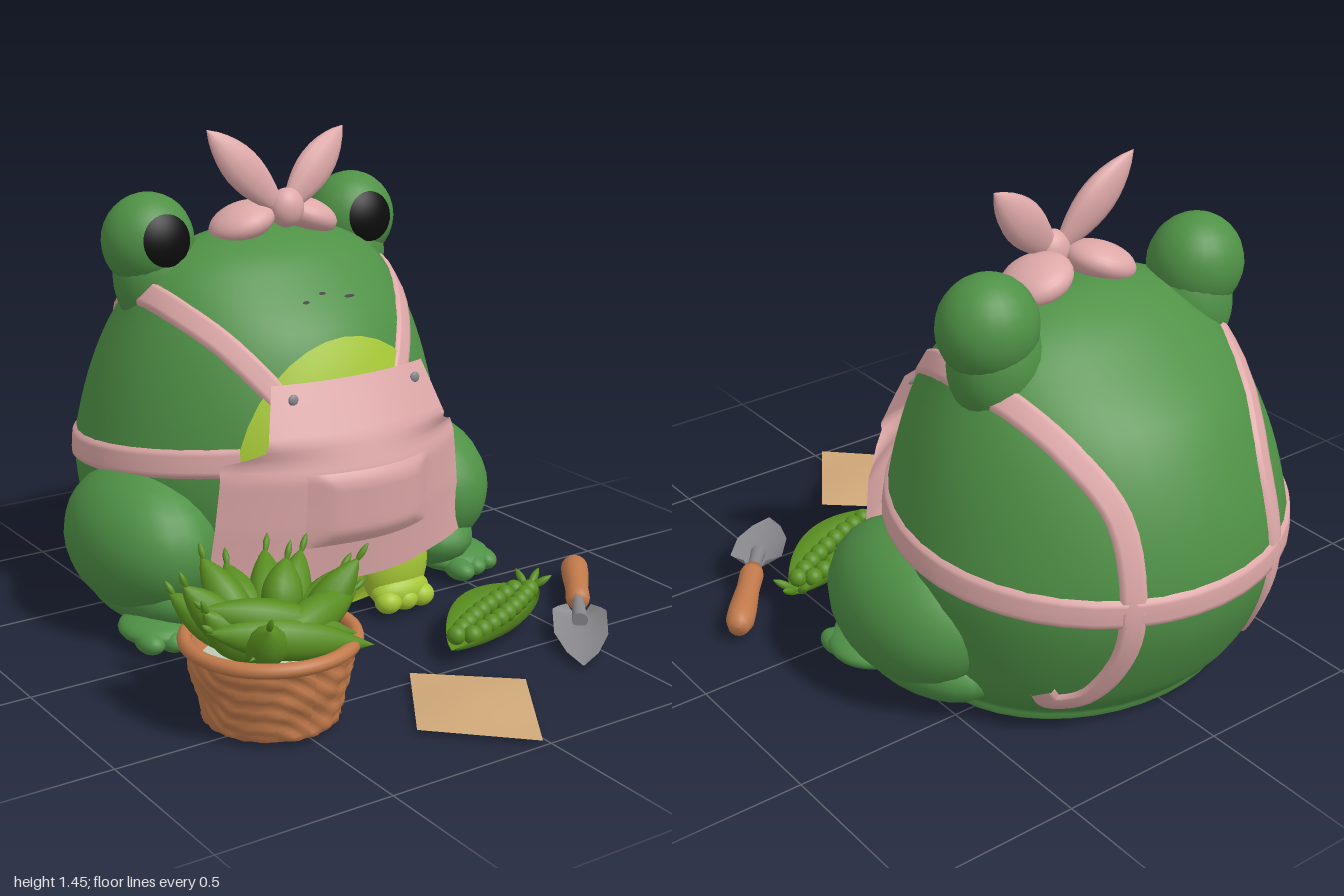
import * as THREE from 'three';
import { mergeVertices } from 'three/addons/utils/BufferGeometryUtils.js';
import { ParametricGeometry } from 'three/addons/geometries/ParametricGeometry.js';

const V = (x, y, z) => new THREE.Vector3(x, y, z);
const lathe = (points, n) => new THREE.LatheGeometry(points.map(p => new THREE.Vector2(...p)), n);
const material = (name, color, side = THREE.FrontSide) =>
  Object.assign(new THREE.MeshStandardMaterial({ color, side }), { name });

// Smooth surface from a rule (u, v) -> point
function surface(rule, nu, nv) {
  const g = new ParametricGeometry((u, v, t) => t.copy(rule(u, v)), nu, nv);
  g.deleteAttribute('uv');
  g.deleteAttribute('normal');
  const merged = mergeVertices(g, 1e-5);
  merged.computeVertexNormals();
  return merged;
}
// Straight-line lookup in a list of [key, value] pairs with rising keys
function lookup(table, k) {
  const i = Math.max(1, table.findIndex((row, n) => k <= row[0] || n === table.length - 1));
  const [k0, v0] = table[i - 1], [k1, v1] = table[i];
  return THREE.MathUtils.lerp(v0, v1, THREE.MathUtils.clamp((k - k0) / (k1 - k0), 0, 1));
}

export function createModel() {
  const root = new THREE.Group();
  const green = material('frog green', 0x4f9146);
  const lime = material('belly lime', 0xa6c836, THREE.DoubleSide);
  const pink = material('apron pink', 0xdea8a8, THREE.DoubleSide);
  const black = material('eye black', 0x0c0c0c);
  const podGreen = material('pea pod green', 0x588d1f, THREE.DoubleSide);
  const clay = material('terracotta', 0xc27a4b);
  const tan = material('paper tan', 0xcfa878, THREE.DoubleSide);
  const grey = material('steel grey', 0x88888c, THREE.DoubleSide);
  const pale = material('pale lining', 0xbccbb6);

  const add = (name, geo, mat, parent = root) => {
    const m = new THREE.Mesh(geo, mat);
    m.name = name;
    parent.add(m);
    return m;
  };
  const group = (name, x, z, turn = 0) => {
    const g = new THREE.Group();
    g.name = name;
    g.position.set(x, 0, z);
    g.rotation.y = turn;
    root.add(g);
    return g;
  };
  const ballGeo = new THREE.SphereGeometry(1, 24, 16);
  const ball = (name, mat, p, r, parent) => {
    const m = add(name, ballGeo, mat, parent);
    m.position.set(...p);
    m.scale.set(...r);
    return m;
  };
  // Pointed leaf or pod running from a to b
  const outline = Array.from({ length: 13 }, (_, i) => [Math.max(0.001, Math.sin(Math.PI * (i / 12) ** 1.15)) ** 0.85, i / 12]);
  const spindleGeo = lathe(outline, 12);
  const spindle = (name, mat, a, b, rx, rz, parent) => {
    const m = add(name, spindleGeo, mat, parent), d = b.clone().sub(a);
    m.position.copy(a);
    m.scale.set(rx, d.length(), rz);
    m.quaternion.setFromUnitVectors(V(0, 1, 0), d.normalize());
  };

  // Body: rings of y, half width, front z, back z
  const rings = [
    [0, 0, -0.4, -0.4], [0, 0.43, -0.06, -0.76], [0.04, 0.47, -0.02, -0.81], [0.12, 0.52, 0.03, -0.88],
    [0.3, 0.56, 0.08, -0.965], [0.45, 0.575, 0.1, -0.99], [0.6, 0.55, 0.09, -0.965], [0.75, 0.51, 0.05, -0.905],
    [0.88, 0.46, -0.01, -0.82], [1.0, 0.4, -0.12, -0.68], [1.08, 0.3, -0.21, -0.575], [1.13, 0.14, -0.32, -0.47],
    [1.14, 0, -0.39, -0.39]];
  const line = k => new THREE.CatmullRomCurve3(rings.map(r => V(r[1], r[0], r[k])), false, 'catmullrom');
  const frontLine = line(2), backLine = line(3);
  const body = add('body', surface((u, v) => {
    const f = frontLine.getPoint(v), b = backLine.getPoint(v), a = (u * 2 + 1) * Math.PI;
    return V(f.x * Math.sin(a), Math.max(0, f.y), (f.z + b.z) / 2 + (f.z - b.z) / 2 * Math.cos(a));
  }, 40, 48), green);
  body.updateMatrixWorld();

  // Drop points on to the body, from the front or towards its middle
  const caster = new THREE.Raycaster(), core = V(0, 0.45, -0.43);
  const cast = (from, dir, fallback) => {
    caster.set(from, dir);
    const hit = caster.intersectObject(body)[0];
    return hit ? hit.point : fallback.clone();
  };
  const onFront = (x, y, off) => cast(V(x, y, 3), V(0, 0, -1), V(x, y, -0.1)).add(V(0, 0, off));
  const onBody = (p, off) => {
    const d = p.clone().sub(core).normalize();
    return cast(core.clone().addScaledVector(d, 3), d.clone().negate(), p).addScaledVector(d, off);
  };
  const ribbon = (name, points, width, n) => {
    const curve = new THREE.CatmullRomCurve3(points.map(p => onBody(p, 0)));
    add(name, surface((u, v) => {
      const p = curve.getPoint(v);
      const side = curve.getTangent(v).cross(p.clone().sub(core).normalize()).normalize();
      return onBody(p.addScaledVector(side, (u - 0.5) * width), u < 0.01 || u > 0.99 ? -0.003 : 0.01);
    }, 8, n), pink);
  };
  add('belly', surface((u, v) => {
    const a = v * Math.PI * 2;
    return onFront(0.02 + 0.37 * u * Math.cos(a), Math.max(0.015, 0.42 + 0.44 * u * Math.sin(a)), 0.007);
  }, 10, 36), lime);
  // Small nostrils and mouth
  for (const [x, y, w] of [[-0.055, 0.955, 0.012], [0.1, 0.955, 0.018], [0.01, 0.972, 0.012]]) {
    const m = add('faceMark', new THREE.CircleGeometry(1, 12), black);
    m.position.copy(onFront(x, y, 0.006));
    m.scale.set(w, 0.005, 1);
    m.rotation.x = -0.6;
  }

  const pupilGeo = new THREE.SphereGeometry(1, 28, 8, 0, Math.PI * 2, 0, 0.56);
  pupilGeo.rotateX(Math.PI / 2 - 0.12);
  const strap = [[0.2, 0.7, 0.08], [0.25, 0.77, 0.04], [0.33, 0.88, -0.1], [0.385, 0.935, -0.27], [0.4, 0.95, -0.45],
    [0.38, 0.94, -0.6], [0.33, 0.86, -0.76], [0.26, 0.7, -0.88], [0.26, 0.45, -0.95], [0.27, 0.27, -0.92],
    [0.31, 0.13, -0.82], [0.37, 0.12, -0.75], [0.4, 0.16, -0.75]];
  for (const s of [-1, 1]) {
    // Eye bump on a short neck, with a dark pupil cap
    ball('eyeBump', green, [s * 0.36, 1.11, -0.46], [0.14, 0.142, 0.13]);
    ball('eyeNeck', green, [s * 0.335, 1.0, -0.46], [0.13, 0.17, 0.125]);
    const pupil = add('pupil', pupilGeo, black);
    pupil.position.set(s * 0.357, 1.11, -0.46);
    pupil.scale.set(0.144, 0.146, 0.135);
    // Hind leg and foot
    ball('thigh', green, [s * 0.49, 0.262, -0.3], [0.213, 0.225, 0.3]);
    ball('shin', green, [s * 0.46, 0.12, -0.3], [0.17, 0.12, 0.3]);
    ball('hindFoot', green, [s * 0.53, 0.045, -0.13], [0.12, 0.045, 0.13]);
    for (const k of [-1, 0, 1]) ball('toe', green, [s * 0.54 + k * 0.06, 0.034, -0.04 - k * s * 0.02], [0.04, 0.034, 0.06]);
    // Front leg and foot below the apron
    const x = s * 0.18 + 0.015;
    ball('frontLeg', lime, [x, 0.14, 0.02], [0.115, 0.15, 0.075]);
    ball('frontFoot', lime, [x, 0.055, 0.055], [0.1, 0.055, 0.055]);
    for (const k of [-1, 0, 1]) ball('finger', lime, [x + k * 0.06, 0.036, 0.08], [0.042, 0.036, 0.04]);
    // Strap over the shoulder, crossing the band and ending in a hooked tail
    ribbon('shoulderStrap', strap.map(p => V(s * p[0], p[1], p[2])), 0.078, 60);
  }
  // Waist band round the back
  ribbon('waistBand', Array.from({ length: 25 }, (_, i) => {
    const a = 0.6 + (Math.PI * 2 - 1.2) * i / 24;
    return V(Math.sin(a) * 0.58, 0.545 - 0.105 * (1 - Math.cos(a)) / 2, -0.45 + 0.55 * Math.cos(a));
  }), 0.09, 72);

  // Apron, its pocket and buttons
  const apronDepth = [[0.17, 0.14], [0.35, 0.17], [0.5, 0.185], [0.6, 0.155], [0.76, 0.075]];
  const apronWidth = [[0.17, 0.46], [0.54, 0.42], [0.58, 0.32], [0.76, 0.265]];
  const apronCurve = [[0.17, 0.75], [0.54, 1.05], [0.6, 0.65], [0.76, 0.6]];
  const apronZ = (x, y) => lookup(apronDepth, y) - lookup(apronCurve, y) * x * x + 0.008 * Math.sin(x * 16) * (0.76 - y);
  add('apron', surface((u, v) => {
    const y = 0.17 + 0.59 * v, x = 0.02 + (u * 2 - 1) * lookup(apronWidth, y);
    return V(x, y, apronZ(x, y));
  }, 24, 30), pink);
  add('pocket', surface((u, v) => {
    const x = -0.195 + 0.44 * u, y = 0.29 + 0.225 * v;
    const puff = Math.min(1, 6 * Math.min(u, 1 - u), 6 * Math.min(v, (1 - v) * 0.6 + 0.06));
    return V(x, y, apronZ(x, y) + 0.003 + 0.02 * puff);
  }, 24, 16), pink);
  for (const x of [-0.195, 0.235]) ball('button', grey, [x, 0.72, apronZ(x, 0.72) + 0.004], [0.016, 0.016, 0.008]);

  // Head bow
  const bow = group('headBow', 0.02, 0);
  for (const s of [-1, 1]) {
    spindle('bowEar', pink, V(-s * 0.015, 1.16, -0.31), V(s * 0.237, 1.425 - s * 0.01, -0.35), 0.062, 0.035, bow);
    ball('bowLoop', pink, [s * 0.11, 1.15, -0.37], [0.105, 0.055, 0.1], bow).rotation.z = -s * 0.35;
  }
  ball('bowKnot', pink, [0.01, 1.19, -0.31], [0.055, 0.06, 0.045], bow);

  // Basket with rough woven wall, rim, base and lining
  const basket = group('basket', -0.52, 0.47);
  const wall = Array.from({ length: 17 }, (_, i) => [0.18 + 0.052 * i / 16, 0.006 + 0.217 * i / 16]);
  const wallGeo = lathe([[0.001, 0.003], [0.17, 0.002], ...wall, [0.205, 0.22], [0.165, 0.03], [0.001, 0.03]], 80);
  const wp = wallGeo.attributes.position;
  for (let i = 0; i < wp.count; i++) {
    const x = wp.getX(i), y = wp.getY(i), z = wp.getZ(i), a = Math.atan2(x, z);
    const k = Math.hypot(x, z) < 0.178 ? 1 : 1 + 0.035 * Math.sin(11 * a + y * 40) * Math.sin(y * 90 + 3 * Math.sin(4 * a));
    wp.setXYZ(i, x * k, y, z * k);
  }
  wallGeo.computeVertexNormals();
  add('basketWall', wallGeo, clay, basket);
  for (const [name, geo, mat, y, turn] of [['basketRim', new THREE.TorusGeometry(0.226, 0.02, 10, 48), clay, 0.225, -1],
    ['basketLining', new THREE.CircleGeometry(0.19, 32), pale, 0.16, -1],
    ['basketBase', new THREE.CircleGeometry(0.165, 32), tan, 0, 1]]) {
    const m = add(name, geo, mat, basket);
    m.rotation.x = turn * Math.PI / 2;
    m.position.y = y;
  }
  // Pea pods: a fan pointing outwards, then a few lying across the front
  const pod = (a, b, r) => {
    spindle('peaPod', podGreen, a, b, r, r * 0.9, basket);
    const d = b.clone().sub(a).normalize(), tip = b.clone().addScaledVector(d, -0.025);
    spindle('podStem', podGreen, tip, tip.clone().addScaledVector(d, 0.05).add(V(0.012, 0.018, 0)), 0.009, 0.009, basket);
  };
  for (let i = 0; i < 9; i++) {
    const a = Math.PI * (-0.08 + 1.16 * i / 8), r = 0.25 + 0.025 * Math.sin(i * 2.3);
    pod(V(Math.cos(a) * 0.03, 0.16, 0.02 - Math.sin(a) * 0.03),
      V(Math.cos(a) * r, 0.375 + 0.035 * Math.cos(i * 2.6), -Math.sin(a) * r * 0.92), 0.054);
  }
  for (const p of [[0.18, 0.24, 0.15, -0.23, 0.36, 0.03], [-0.16, 0.25, 0.16, 0.24, 0.32, 0.05],
    [0.2, 0.22, 0.19, -0.23, 0.31, 0.07], [-0.05, 0.17, 0.05, -0.13, 0.34, 0.2], [0.02, 0.2, 0, 0.1, 0.4, -0.08]])
    pod(V(...p.slice(0, 3)), V(...p.slice(3)), 0.057);

  // Open pod with peas lying on the ground
  const open = group('openPod', 0.325, 0.35, 0.47);
  add('podShell', surface((u, v) => {
    const w = Math.max(0, Math.sin(Math.PI * u)) ** 0.75, t = v * 2 - 1;
    return V((u - 0.5) * 0.57, 0.004 + 0.035 * (1 - w) + 0.08 * w * t * t, 0.108 * w * Math.sin(t * 1.5));
  }, 24, 14), podGreen, open);
  for (let i = 0; i < 18; i++) {
    const x = -0.2 + 0.05 * Math.floor(i / 2), s = i % 2 * 2 - 1;
    ball('pea', podGreen, [x + s * 0.012, 0.055, s * 0.036 * (1 - (x / 0.3) ** 2)], [0.028, 0.028, 0.028], open);
  }
  for (const k of [-1, 0, 1])
    spindle('podStalk', podGreen, V(0.25, 0.035, 0), V(0.33 - Math.abs(k) * 0.04, 0.08, k * 0.06), 0.012, 0.012, open);

  // Trowel
  const trowel = group('trowel', 0.6, 0.41, 0.9);
  const handle = add('trowelHandle', lathe([[0.001, 0], [0.03, 0], [0.037, 0.03], [0.035, 0.11], [0.042, 0.22], [0.042, 0.28],
    [0.03, 0.315], [0.001, 0.32]], 16), clay, trowel);
  handle.rotation.z = -Math.PI / 2;
  handle.position.y = 0.043;
  const neck = add('trowelNeck', new THREE.CylinderGeometry(0.016, 0.024, 0.14, 12), grey, trowel);
  neck.rotation.z = -Math.PI / 2 + 0.1;
  neck.position.set(-0.05, 0.04, 0);
  const bladeWidth = [[0, 0.035], [0.08, 0.08], [0.5, 0.078], [0.8, 0.045], [1, 0.002]];
  add('trowelBlade', surface((u, v) => {
    const t = v * 2 - 1;
    return V(-0.04 - 0.34 * u, 0.006 + 0.035 * t * t * (1 - u) + 0.012 * (1 - u), lookup(bladeWidth, u) * t);
  }, 20, 8), grey, trowel);

  // Seed packet: puffed top sheet and flat back sheet
  const [c0, c1, c2, c3] = [V(-0.066, 0, 0.468), V(-0.257, 0, 0.765), V(0.177, 0, 0.68), V(-0.024, 0, 0.995)];
  for (const [name, puff] of [['packetFront', 0.016], ['packetBack', 0]])
    add(name, surface((u, v) => c0.clone().lerp(c1, u).lerp(c2.clone().lerp(c3, u), v)
      .setY(0.002 + puff * Math.sin(Math.PI * u) * Math.sin(Math.PI * v)), 10, 10), tan);
  return root;
}
